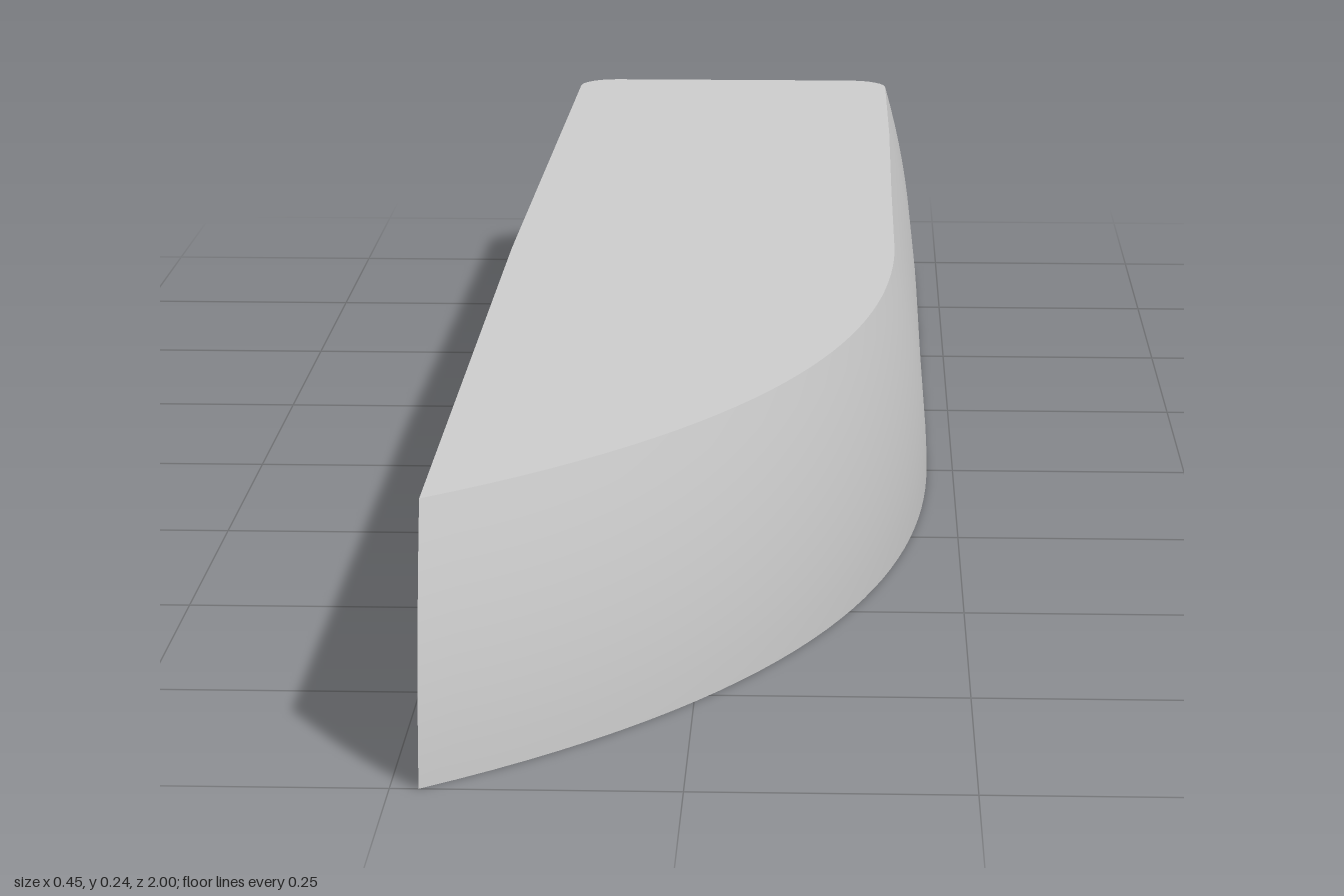
import * as THREE from 'three';
import { toCreasedNormals } from 'three/addons/utils/BufferGeometryUtils.js';

const H = 0.243, LEFT = -0.225, BACK = -1, R = 0.045;
const LAYERS = 10, CURVE = 32, ARC = 6;

// Outer edge of the curved nose at ground level (x, z)
const nose = new THREE.CubicBezierCurve(
  new THREE.Vector2(LEFT, 1), new THREE.Vector2(0.1, 0.75),
  new THREE.Vector2(0.215, 0.4), new THREE.Vector2(0.222, 0));

// Plan outline at height fraction v
function outline(v) {
  const inset = 0.037 * Math.pow(v, 1.9);
  const pts = [];
  // curved nose, inset along its normal and kept on the straight side at the tip
  for (let i = 0; i <= CURVE; i++) {
    const t = i / CURVE, p = nose.getPoint(t), d = nose.getTangent(t);
    const slide = 0.77 * (1 - t);
    pts.push([p.x + inset * (d.y + slide * d.x), p.y + inset * (-d.x + slide * d.y)]);
  }
  pts[0][0] = LEFT;
  // long curved flank
  const xr = 0.218 - inset;
  for (const z of [-0.3, -0.65]) pts.push([xr + 0.003, z]);
  // rounded rear corners
  const xl = THREE.MathUtils.lerp(-0.135, -0.213, v);
  const corner = (cx, from) => {
    for (let i = 0; i <= ARC; i++) {
      const a = from + (i / ARC) * Math.PI / 2;
      pts.push([cx + R * Math.cos(a), BACK + R - R * Math.sin(a)]);
    }
  };
  corner(xr - R, 0);
  corner(xl + R, Math.PI / 2);
  // straight side: tapers under from the middle to the rear
  for (const z of [-0.9, -0.5, -0.04]) {
    pts.push([THREE.MathUtils.mapLinear(z, BACK + R, 0, xl, LEFT), z]);
  }
  pts.push([LEFT, 0], [LEFT, 0.05], [LEFT, 0.5]);
  return pts;
}

function bodyGeometry() {
  const position = [], index = [], rings = [];
  for (let k = 0; k <= LAYERS; k++) {
    const ring = outline(k / LAYERS);
    rings.push(ring);
    ring.forEach(([x, z]) => position.push(x, H * k / LAYERS, z));
  }
  const n = rings[0].length;
  // walls
  for (let k = 0; k < LAYERS; k++) {
    for (let j = 0; j < n; j++) {
      const a = k * n + j, b = k * n + (j + 1) % n;
      index.push(a, b, b + n, a, b + n, a + n);
    }
  }
  // flat top and bottom
  for (const [k, up] of [[0, false], [LAYERS, true]]) {
    const pts = rings[k].map(([x, z]) => new THREE.Vector2(x, z));
    for (const [a, b, c] of THREE.ShapeUtils.triangulateShape(pts, [])) {
      const facesUp = pts[b].clone().sub(pts[a]).cross(pts[c].clone().sub(pts[a])) < 0;
      const o = k * n;
      if (facesUp === up) index.push(o + a, o + b, o + c);
      else index.push(o + a, o + c, o + b);
    }
  }
  const geo = new THREE.BufferGeometry();
  geo.setAttribute('position', new THREE.Float32BufferAttribute(position, 3));
  geo.setIndex(index);
  return toCreasedNormals(geo, 0.5);
}

export function createModel() {
  const group = new THREE.Group();
  group.name = 'curvedBlock';
  const body = new THREE.Mesh(bodyGeometry(), new THREE.MeshStandardMaterial({ color: 0xcccccc }));
  body.name = 'body';
  group.add(body);
  return group;
}
